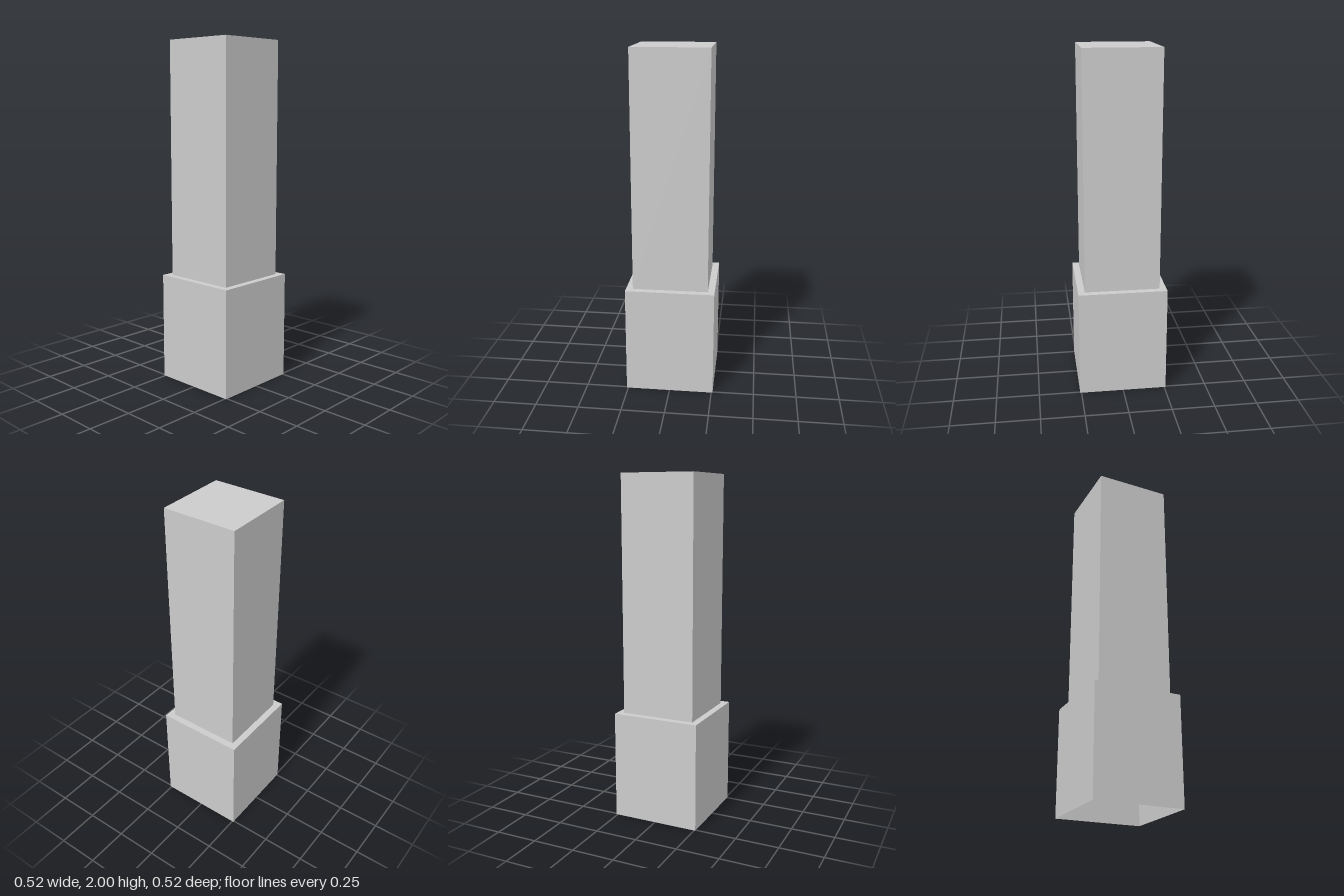
import * as THREE from 'three';

const BASE_HALF = 0.258, SHAFT_HALF = 0.218;
const LEDGE_Y = 0.63, TOP_Y = 2;

export function createModel() {
  const model = new THREE.Group();
  model.name = 'squarePillar';
  const material = new THREE.MeshStandardMaterial({
    color: 0xcccccc, flatShading: true, side: THREE.DoubleSide,
  });

  const add = (name, geometry, y) => {
    const mesh = new THREE.Mesh(geometry, material);
    mesh.name = name;
    mesh.position.y = y;
    model.add(mesh);
  };

  // Four thin walls, open above and below
  const addWalls = (name, half, bottom, top) => {
    const r = half * Math.SQRT2;
    add(name, new THREE.CylinderGeometry(r, r, top - bottom, 4, 1, true, Math.PI / 4),
      (bottom + top) / 2);
  };

  // Hollow base, open underneath
  addWalls('baseWalls', BASE_HALF, 0, LEDGE_Y);

  // Narrow square ledge between base and shaft
  const ledge = new THREE.RingGeometry(
    SHAFT_HALF * Math.SQRT2, BASE_HALF * Math.SQRT2, 4, 1, Math.PI / 4);
  add('baseLedge', ledge.rotateX(-Math.PI / 2), LEDGE_Y);

  // Tall shaft with a flat top
  addWalls('shaftWalls', SHAFT_HALF, LEDGE_Y, TOP_Y);
  const cap = new THREE.PlaneGeometry(SHAFT_HALF * 2, SHAFT_HALF * 2);
  add('shaftTop', cap.rotateX(-Math.PI / 2), TOP_Y);

  return model;
}
